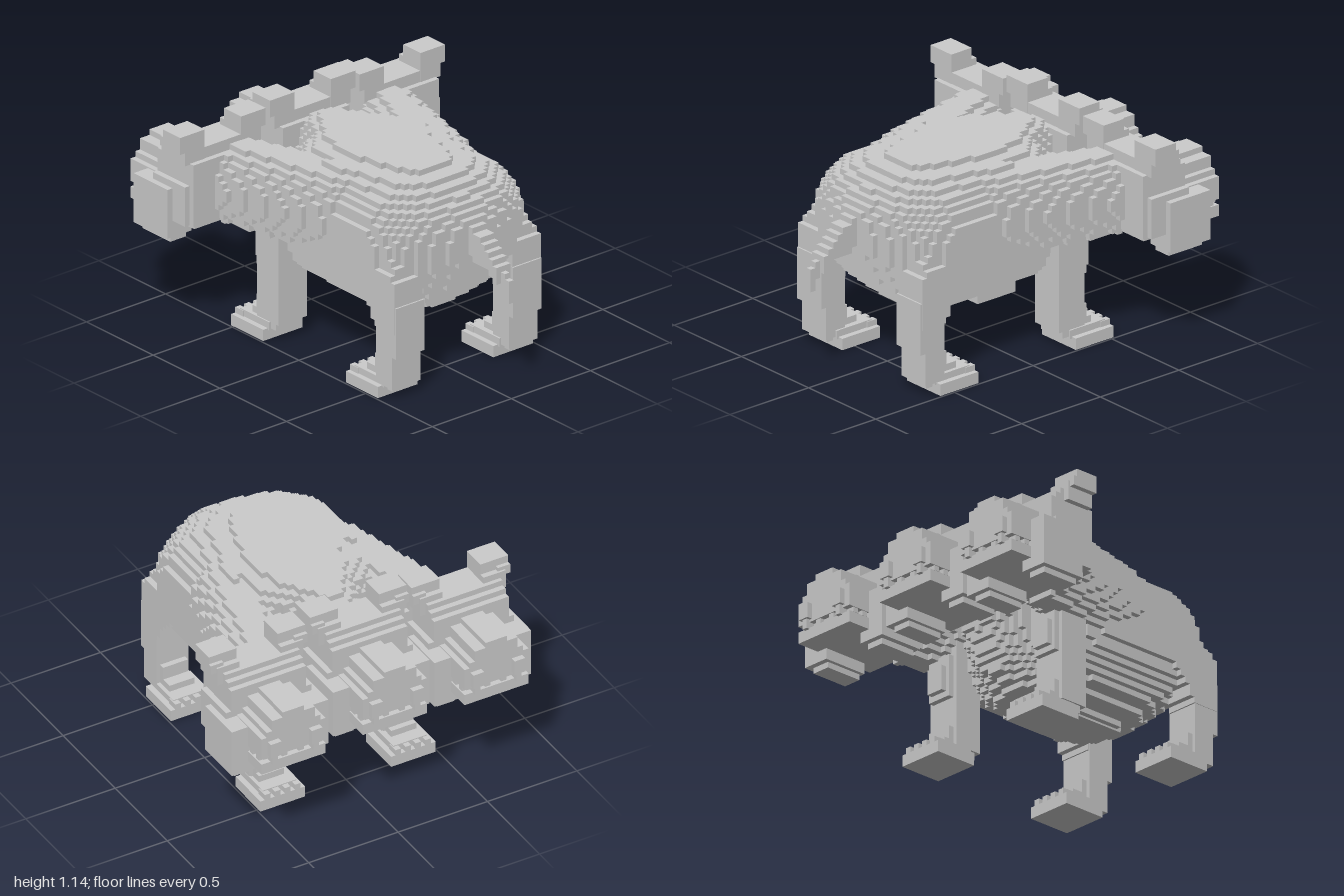
import * as THREE from 'three';

const S = 2 / 67; // edge length of one cube
const material = new THREE.MeshStandardMaterial({ color: 0xcccccc, flatShading: true });

// Piecewise linear lookup in [[position, value], ...]
function along(points, p) {
  if (p <= points[0][0]) return points[0][1];
  for (let i = 1; i < points.length; i++) {
    const [a, va] = points[i - 1], [b, vb] = points[i];
    if (p <= b) return va + (vb - va) * (p - a) / (b - a);
  }
  return points[points.length - 1][1];
}

// Fills a solid given by a rule with cubes and keeps only the outer faces;
// shift moves the grid sideways by a fraction of a cube
function cubes(name, inside, shift = 0) {
  const full = new Set(), key = (i, j, k) => (i + 40) * 10000 + (j + 2) * 100 + k + 40;
  const cells = [];
  for (let i = -33; i <= 33; i++) for (let j = 0; j < 40; j++) for (let k = -33; k <= 33; k++) {
    if (inside((i + shift) * S, (j + 0.5) * S, k * S)) { full.add(key(i, j, k)); cells.push([i, j, k]); }
  }
  const pos = [], index = [];
  for (const c of cells) for (let axis = 0; axis < 3; axis++) for (const dir of [-1, 1]) {
    const n = [...c];
    n[axis] += dir;
    if (full.has(key(...n))) continue;
    const base = pos.length / 3, u = (axis + 1) % 3, v = (axis + 2) % 3;
    for (const [a, b] of [[-1, -1], [1, -1], [1, 1], [-1, 1]]) {
      const p = [c[0] + shift, c[1] + 0.5, c[2]];
      p[axis] += dir / 2; p[u] += a / 2; p[v] += b / 2;
      pos.push(p[0] * S, p[1] * S, p[2] * S);
    }
    const order = dir > 0 ? [0, 1, 2, 0, 2, 3] : [0, 2, 1, 0, 3, 2];
    index.push(...order.map((o) => base + o));
  }
  const g = new THREE.BufferGeometry();
  g.setAttribute('position', new THREE.Float32BufferAttribute(pos, 3));
  g.setIndex(index);
  const flat = g.toNonIndexed();
  flat.computeVertexNormals();
  const mesh = new THREE.Mesh(flat, material);
  mesh.name = name;
  return mesh;
}

// Box between limits on each axis, on the side of x given by side
function box(name, side, x0, x1, y0, y1, z0, z1) {
  const mesh = new THREE.Mesh(new THREE.BoxGeometry(x1 - x0, y1 - y0, z1 - z0), material);
  mesh.position.set(side * (x0 + x1) / 2, (y0 + y1) / 2, (z0 + z1) / 2);
  mesh.name = name;
  return mesh;
}

const within = (v, a, b) => v > a && v < b;

// Barrel body: half width, top and bottom along z
const WIDTH = [[-0.5, 0.1], [-0.4, 0.16], [-0.32, 0.21], [-0.25, 0.32], [-0.15, 0.45], [0, 0.47], [0.45, 0.47], [0.55, 0.44], [0.62, 0.38], [0.67, 0.29], [0.73, 0.12]];
const TOP = [[-0.5, 0.98], [-0.4, 1.04], [-0.2, 1.055], [0.1, 1.055], [0.3, 1.043], [0.43, 1.033], [0.52, 1.005], [0.6, 0.96], [0.67, 0.91], [0.73, 0.85]];
const BOTTOM = [[-0.5, 0.62], [-0.42, 0.48], [-0.36, 0.4], [-0.2, 0.318], [-0.15, 0.308], [0.38, 0.308], [0.47, 0.335], [0.53, 0.38], [0.6, 0.45], [0.68, 0.56], [0.73, 0.66]];
function inBody(x, y, z) {
  if (!within(z, -0.51, 0.73)) return false;
  const w = along(WIDTH, z), t = along(TOP, z), b = along(BOTTOM, z);
  const mid = Math.min(0.72, t - 0.1), low = Math.max(0.635, b + 0.06);
  const up = Math.max(0, (y - mid) / (t - mid)), down = Math.max(0, (low - y) / (low - b));
  return Math.pow(Math.abs(x) / w, 2.3) + Math.pow(up, 2.3) + down * down < 1;
}

// Outer necks spread sideways from the shoulders
function inSideNeck(x, y, z) {
  if (!within(z, -0.52, 0.2)) return false;
  const t = (0.1 - z) / 0.6;
  const dx = (Math.abs(x) - 0.29 - 0.185 * t) / (0.205 - 0.02 * t);
  const dy = (y - 0.775) / (0.23 - 0.025 * t);
  return dx * dx + dy * dy < 1;
}

// Rounded haunches over the hind legs
function inHaunch(x, y, z) {
  const a = Math.abs(x);
  if (!within(a, 0.28, 0.47) || !within(y, 0.37, 0.8)) return false;
  const back = along([[0.34, 0.68], [0.56, 0.68], [0.66, 0.64], [0.8, 0.5]], y);
  const front = along([[0.36, 0.52], [0.44, 0.48], [0.55, 0.36]], y);
  return within(z, front, back) && a < along([[0.58, 0.47], [0.8, 0.41]], y);
}

function inTail(x, y, z) {
  if (!within(z, 0.66, 1)) return false;
  const t = along([[0.7, 0.84], [0.78, 0.81], [0.88, 0.74], [0.94, 0.68], [1, 0.6]], z);
  const b = along([[0.7, 0.68], [0.84, 0.66], [0.9, 0.62], [1, 0.5]], z);
  return within(y, b, t) && Math.abs(x) < (z > 0.94 ? 0.015 : 0.045);
}

// Head around its own centre line: skull, arched snout, recessed mouth and jaw
function inHead(x, y, z) {
  const a = Math.abs(x);
  const skull = within(z, -0.72, -0.49) && within(y, 0.64, along([[-0.72, 0.97], [-0.68, 1.02], [-0.65, 1.05]], z))
    && a < along([[0.64, 0.18], [0.68, 0.24], [0.83, 0.24], [0.87, 0.21]], y);
  const nape = within(z, -0.5, -0.46) && within(y, 0.67, 1) && a < 0.2;
  const snout = within(z, -0.97, -0.7) && within(y, 0.72, 0.97 - 5.4 * a * a) && a < 0.18;
  const mouth = within(z, -0.94, -0.7) && within(y, 0.68, 0.73) && a < 0.15;
  const jaw = within(z, -0.97, -0.7) && within(y, 0.64, 0.7) && a < 0.18;
  return skull || nape || snout || mouth || jaw;
}

function addHeadDetails(head) {
  for (const s of [-1, 1]) {
    const put = (name, ...limits) => head.add(box(name, s, ...limits));
    put('ear', 0.115, 0.27, 1.05, 1.14, -0.62, -0.49);
    put('earBase', 0.115, 0.24, 0.98, 1.08, -0.65, -0.49);
    put('earEdge', 0.2, 0.27, 1.05, 1.1, -0.64, -0.5);
    put('cheek', 0.12, 0.27, 0.57, 0.83, -0.84, -0.585);
    put('cheekBottom', 0.14, 0.24, 0.54, 0.6, -0.81, -0.6);
    put('lip', 0.085, 0.145, 0.73, 0.81, -1, -0.96);
    put('fang', 0.1, 0.13, 0.68, 0.74, -0.99, -0.93);
    // Side and front teeth
    for (let i = 0; i < 2; i++) put('sideTooth', 0.14, 0.175, 0.69, 0.73, -0.88 - 0.06 * i, -0.85 - 0.06 * i);
    put('frontTooth', 0.03, 0.06, 0.69, 0.73, -0.965, -0.93);
  }
}

// One leg with foot and toes; toes point to -z
function makeLeg(name, side, hind) {
  const leg = new THREE.Group();
  leg.name = name;
  const put = (part, ...limits) => leg.add(box(part, side, ...limits));
  if (hind) {
    put('shin', 0.28, 0.46, 0.06, 0.42, 0.53, 0.65);
    put('calf', 0.28, 0.46, 0.23, 0.5, 0.55, 0.68);
    put('heel', 0.31, 0.43, 0.03, 0.2, 0.55, 0.62);
    put('instep', 0.3, 0.44, 0.09, 0.13, 0.44, 0.55);
    put('knee', 0.3, 0.44, 0.1, 0.2, 0.5, 0.55);
  } else {
    put('shin', 0.28, 0.46, 0.1, 0.75, -0.36, -0.2);
    put('shoulder', 0.3, 0.44, 0.36, 0.58, -0.39, -0.3);
    put('shoulderFront', 0.32, 0.42, 0.39, 0.52, -0.42, -0.3);
    put('heel', 0.29, 0.45, 0.06, 0.12, -0.36, -0.23);
    put('instep', 0.3, 0.44, 0.09, 0.13, -0.42, -0.33);
    put('ankle', 0.3, 0.44, 0.1, 0.2, -0.39, -0.33);
  }
  const front = hind ? 0.34 : -0.52;
  put('foot', 0.24, 0.49, 0, 0.06, front, front + 0.24);
  put('footTop', 0.27, 0.46, 0.05, 0.095, front + 0.03, front + 0.25);
  for (let i = 0; i < 4; i++) put('toe', 0.265 + i * 0.056, 0.297 + i * 0.056, 0.05, 0.09, front, front + 0.06);
  return leg;
}

export function createModel() {
  const model = new THREE.Group();
  model.name = 'threeHeadedDog';
  // Torso, necks and haunches share one cube grid
  model.add(cubes('body', (x, y, z) => inBody(x, y, z) || inSideNeck(x, y, z) || inHaunch(x, y, z)));
  model.add(box('bellyKeel', 1, -0.075, 0.075, 0.288, 0.33, -0.17, 0.4));
  model.add(cubes('tail', inTail));

  // Three equal heads, the outer two one cube lower
  const headShape = cubes('skullAndSnout', inHead, 0.5);
  for (const [name, i] of [['rightHead', -1], ['middleHead', 0], ['leftHead', 1]]) {
    const head = new THREE.Group();
    head.name = name;
    head.add(headShape.clone());
    addHeadDetails(head);
    head.position.set(i * 19 * S, i ? -S : 0, 0);
    model.add(head);
  }

  for (const side of [-1, 1]) {
    const word = side > 0 ? 'left' : 'right';
    model.add(makeLeg(word + 'FrontLeg', side, false));
    model.add(makeLeg(word + 'HindLeg', side, true));
  }
  return model;
}
